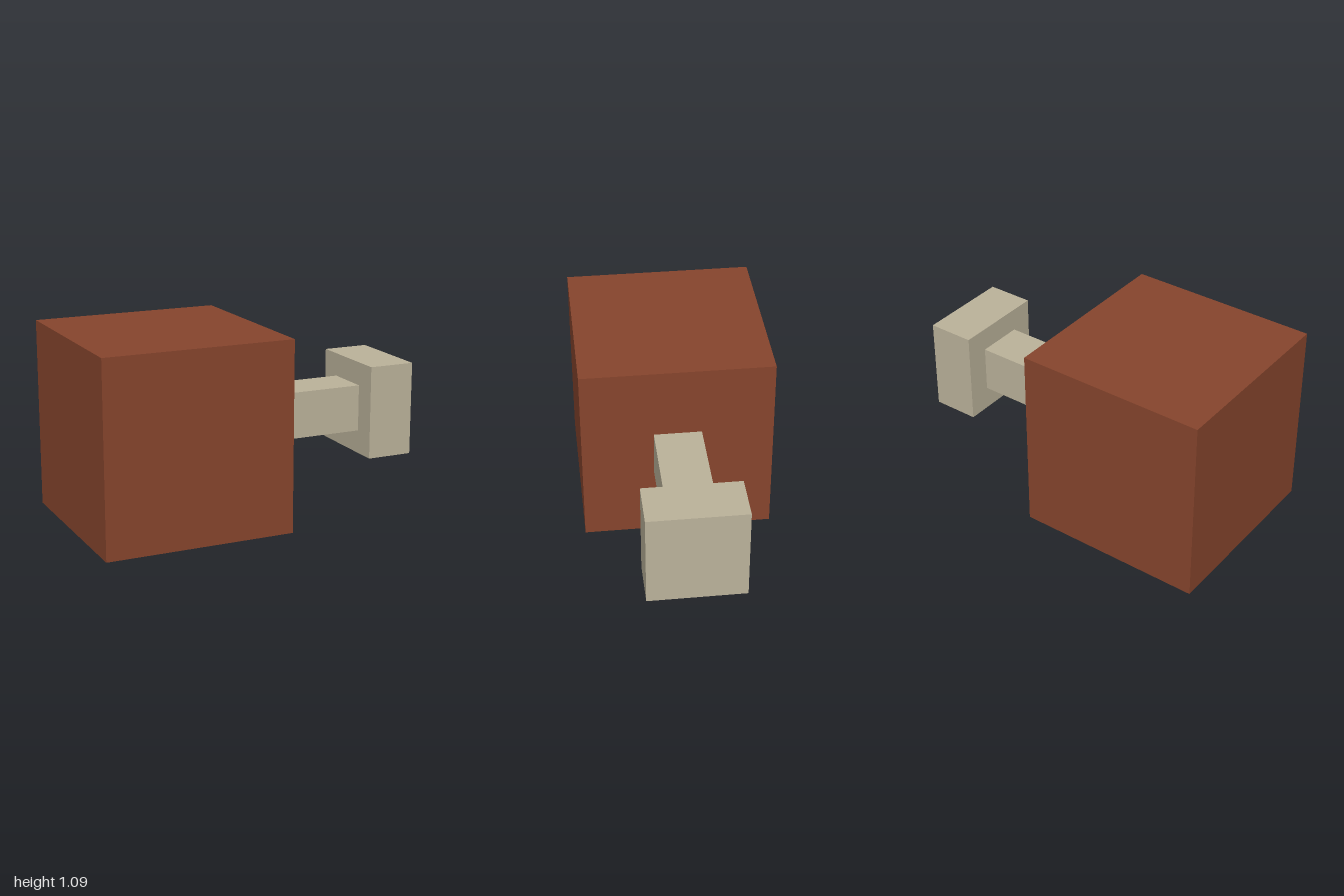
import * as THREE from 'three';

export function createModel() {
  const group = new THREE.Group();
  const redBrown = new THREE.MeshStandardMaterial({ color: 0x87452d });
  redBrown.name = 'redBrown';
  const beige = new THREE.MeshStandardMaterial({ color: 0xbcb39b });
  beige.name = 'beige';

  const u = 2 / 22; // the whole model is 22 units long

  // square-section block spanning x0..x1 (in units), centred on the long axis
  function block(name, x0, x1, size, material) {
    const geometry = new THREE.BoxGeometry((x1 - x0) * u, size * u, size * u);
    const mesh = new THREE.Mesh(geometry, material);
    mesh.name = name;
    mesh.position.set(((x0 + x1) / 2) * u, 6 * u, 0);
    group.add(mesh);
  }

  block('body', -11, 1, 12, redBrown);
  block('stem', 1, 8, 3, beige);
  block('endCap', 8, 11, 6, beige);

  return group;
}
